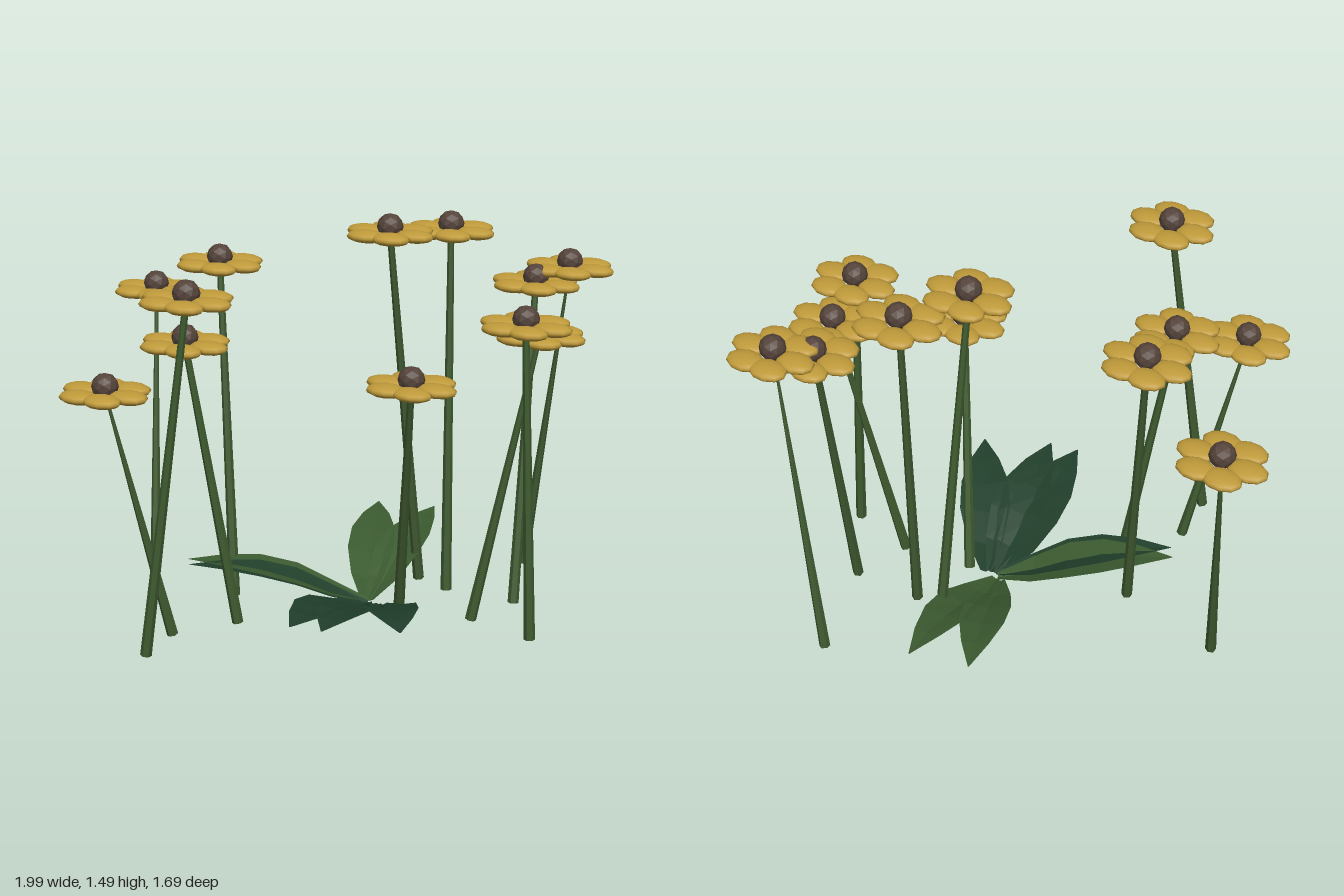
import * as THREE from 'three';

const mat = (name, color, side = THREE.FrontSide) => {
  const m = new THREE.MeshStandardMaterial({ color, side });
  m.name = name;
  return m;
};

// Facet a geometry so that each face keeps its own normal
function faceted(geometry) {
  const g = geometry.index ? geometry.toNonIndexed() : geometry;
  g.computeVertexNormals();
  return g;
}

// Folded leaf: three-point cross-sections swept from the crown to the tip
function leafGeometry(base, tip, width) {
  const sections = [ // t, relative half width, rib height, edge lift
    [0, 0.2, 0.01, 0.01], [0.2, 0.72, 0.045, 0.022], [0.4, 1, 0.1, 0.025],
    [0.6, 0.95, 0.14, 0.018], [0.8, 0.58, 0.165, 0.007], [1, 0.02, 0.173, 0],
  ];
  const dir = new THREE.Vector2(tip[0] - base[0], tip[1] - base[1]);
  const across = new THREE.Vector2(dir.y, -dir.x).normalize().multiplyScalar(width);
  const pos = [], index = [];
  sections.forEach(([t, w, y, lift], i) => {
    for (const s of [-1, 0, 1]) {
      pos.push(base[0] + dir.x * t + across.x * w * s, y + Math.abs(s) * lift, base[1] + dir.y * t + across.y * w * s);
    }
    if (i === 0) return;
    for (let k = 0; k < 2; k++) {
      const a = (i - 1) * 3 + k, b = a + 1, c = a + 3, d = a + 4;
      index.push(a, c, b, b, c, d);
    }
  });
  const g = new THREE.BufferGeometry();
  g.setAttribute('position', new THREE.Float32BufferAttribute(pos, 3));
  g.setIndex(index);
  return faceted(g);
}

export function createModel() {
  const model = new THREE.Group();
  const petalMat = mat('petal gold', 0xbf9a3a);
  const buttonMat = mat('button brown', 0x54433a);
  const stemMat = mat('stem green', 0x3f5a30);
  const leafMat = mat('leaf green', 0x3b5a30, THREE.DoubleSide);
  const darkLeafMat = mat('dark leaf green', 0x213f2b, THREE.DoubleSide);

  const petalGeo = new THREE.SphereGeometry(1, 10, 8);
  petalGeo.scale(0.077, 0.023, 0.057);
  const buttonGeo = faceted(new THREE.IcosahedronGeometry(0.049, 1));

  // Each flower: head x, y, z, then foot x, z, then stem top radius
  const flowers = [
    [0.68, 1.255, -0.71, 0.49, -0.78, 0.004],
    [0.6, 1.21, -0.59, 0.65, -0.38, 0.012],
    [0.305, 1.4, -0.465, 0.37, -0.36, 0.012],
    [0.185, 1.42, -0.22, 0.22, -0.41, 0.012],
    [0.775, 1.105, -0.28, 0.59, -0.15, 0.009],
    [0.805, 1.185, -0.105, 0.86, -0.1, 0.012],
    [0.495, 0.98, 0.155, 0.31, -0.1, 0.012],
    [-0.825, 1.09, -0.145, -0.72, 0.045, 0.006],
    [-0.435, 1.27, -0.02, -0.29, 0.12, 0.012],
    [-0.29, 1.08, 0.415, -0.13, 0.335, 0.012],
    [-0.435, 0.945, 0.7, -0.27, 0.555, 0.005],
    [-0.08, 1.33, 0.695, -0.24, 0.76, 0.012],
  ];

  for (const [x, y, z, footX, footZ, topRadius] of flowers) {
    const flower = new THREE.Group();
    flower.name = 'flower';

    // Leaning stem
    const foot = new THREE.Vector3(footX, 0.01, footZ);
    const head = new THREE.Vector3(x, y, z);
    const axis = head.clone().sub(foot);
    const stem = new THREE.Mesh(faceted(new THREE.CylinderGeometry(topRadius, 0.021, axis.length(), 6)), stemMat);
    stem.name = 'stem';
    stem.position.copy(foot).add(head).multiplyScalar(0.5);
    stem.quaternion.setFromUnitVectors(new THREE.Vector3(0, 1, 0), axis.normalize());
    flower.add(stem);

    // Ring of six oval petals, all lying the same way, around a domed button
    for (let i = 0; i < 6; i++) {
      const angle = i * Math.PI / 3;
      const petal = new THREE.Mesh(petalGeo, petalMat);
      petal.name = 'petal';
      petal.position.set(x + Math.cos(angle) * 0.101, y, z + Math.sin(angle) * 0.101);
      flower.add(petal);
    }
    const button = new THREE.Mesh(buttonGeo, buttonMat);
    button.name = 'button';
    button.position.set(x, y + 0.026, z);
    flower.add(button);
    model.add(flower);
  }

  // Leaves spreading from one crown: base x, z, tip x, z, half width, material
  const leaves = [
    [0.16, -0.1, -0.13, -0.695, 0.09, leafMat],
    [0.18, -0.1, 0.09, -0.765, 0.09, leafMat],
    [0.18, -0.09, -0.415, 0.245, 0.105, leafMat],
    [0.19, -0.07, -0.38, 0.29, 0.09, darkLeafMat],
    [0.18, -0.08, 0.265, 0.59, 0.115, darkLeafMat],
    [0.22, -0.08, 0.38, 0.565, 0.105, darkLeafMat],
    [0.24, -0.09, 0.62, 0.43, 0.1, darkLeafMat],
  ];
  for (const [bx, bz, tx, tz, width, material] of leaves) {
    const leaf = new THREE.Mesh(leafGeometry([bx, bz], [tx, tz], width), material);
    leaf.name = 'leaf';
    model.add(leaf);
  }
  return model;
}
